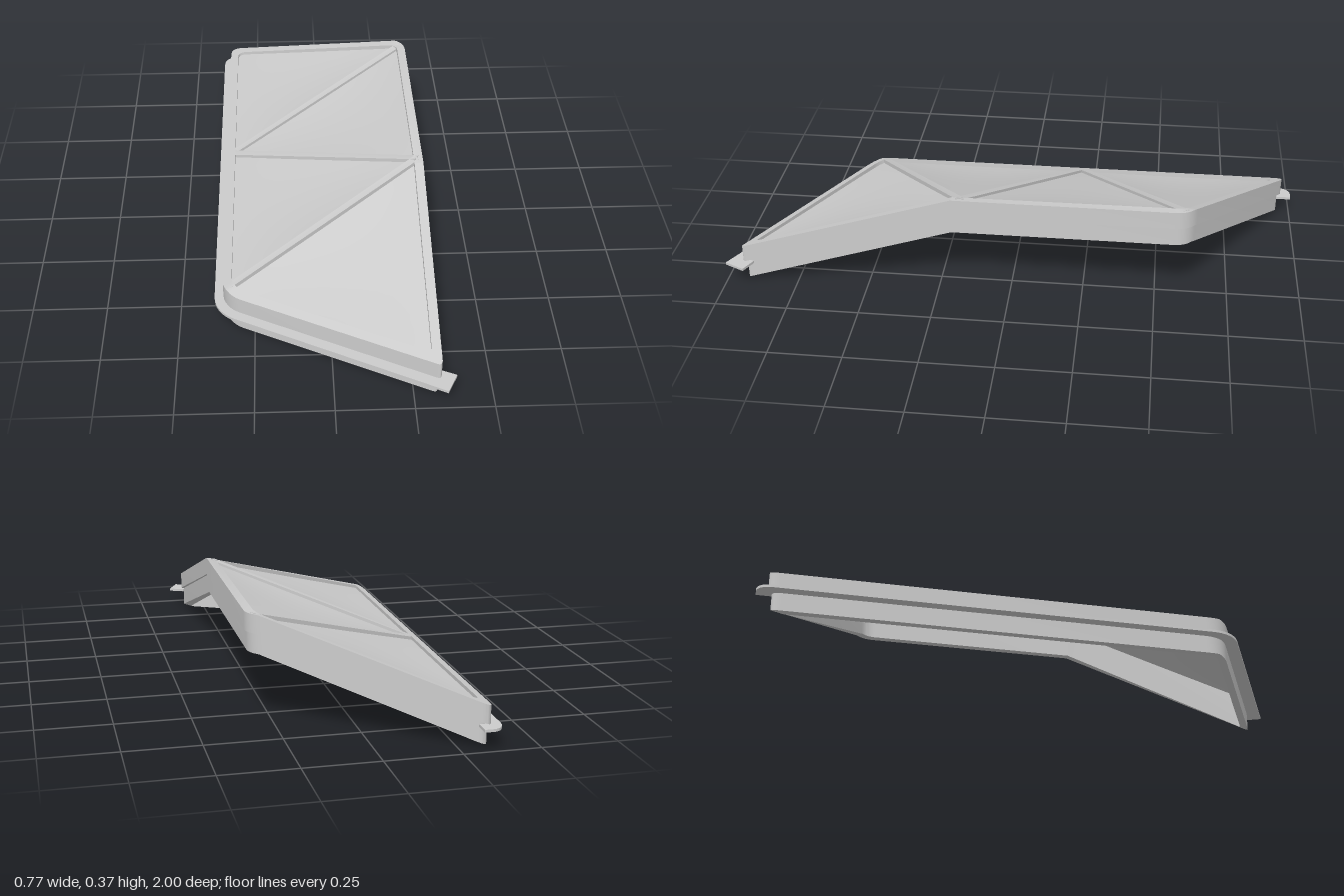
import * as THREE from 'three';
import { mergeGeometries, toCreasedNormals } from 'three/addons/utils/BufferGeometryUtils.js';

const V = (x, y, z) => new THREE.Vector3(x, y, z);

// Height of the folded roof: one slope rising to +x, one falling to the front edge
function roofHeight(x, z) {
  const slope = 0.13 + 0.235 * (x + 0.355) / 0.66;
  const front = 0.13 + 0.235 * (0.945 + 0.522 * (x - 0.335) - z) / 0.745;
  return Math.min(0.365, slope, front);
}

// Plan corners [x, z, rounding]; the third is the bend in the right edge
const CORNERS = [
  [-0.355, -0.978, 0.05], [0.335, -0.605, 0.05], [0.335, 0.2, 0.004],
  [0.335, 0.948, 0.02], [-0.355, 0.588, 0.07],
];

// Rounded plan outline moved inwards by a distance
function outline(inset) {
  const n = CORNERS.length;
  const pts = CORNERS.map((c) => new THREE.Vector2(c[0], c[1]));
  const dir = (i) => pts[(i + 1) % n].clone().sub(pts[i % n]).normalize();
  const moved = pts.map((p, i) => {
    const a = dir(i + n - 1), b = dir(i);
    const na = new THREE.Vector2(-a.y, a.x), nb = new THREE.Vector2(-b.y, b.x);
    return p.clone().addScaledVector(na.clone().add(nb), inset / (1 + na.dot(nb)));
  });
  return moved.flatMap((p, i) => {
    const cut = CORNERS[i][2] * (1 - inset * 8);
    const start = p.clone().addScaledVector(dir(i + n - 1), -cut);
    const end = p.clone().addScaledVector(dir(i), cut);
    return new THREE.QuadraticBezierCurve(start, p, end).getPoints(8);
  });
}

// Strip of faces between two closed rings of equal length
function band(a, b) {
  const pos = [], n = a.length;
  for (let i = 0; i < n; i++) {
    const j = (i + 1) % n;
    for (const p of [a[i], a[j], b[i], a[j], b[j], b[i]]) pos.push(p.x, p.y, p.z);
  }
  const g = new THREE.BufferGeometry();
  g.setAttribute('position', new THREE.Float32BufferAttribute(pos, 3));
  return g;
}

// Stepped frame wall that follows the fold
function frameGeometry() {
  const outer = outline(0);
  const ring = (inset, drop) => outline(inset).map((p, i) =>
    V(p.x, drop ? roofHeight(outer[i].x, outer[i].y) - drop : roofHeight(p.x, p.y), p.y));
  const rings = [ring(0, 0), ring(0, 0.062), ring(0.008, 0.062),
    ring(0.008, 0.13), ring(0.034, 0.13), ring(0.03, 0)];
  const bands = rings.map((r, i) => band(r, rings[(i + 1) % rings.length]));
  return toCreasedNormals(mergeGeometries(bands), 0.5);
}

// Thin ledge round the left and front sides
function flangeGeometry() {
  const s = new THREE.Shape();
  s.moveTo(-0.315, -1.0);
  s.lineTo(-0.345, -1.0);
  s.quadraticCurveTo(-0.384, -0.995, -0.384, -0.94);
  s.lineTo(-0.384, 0.53);
  s.quadraticCurveTo(-0.384, 0.605, -0.32, 0.645);
  s.lineTo(0.35, 1.0);
  s.lineTo(0.384, 0.93);
  s.lineTo(0.33, 0.905);
  s.lineTo(0.32, 0.92);
  s.lineTo(-0.3, 0.597);
  s.lineTo(-0.34, 0.53);
  s.lineTo(-0.34, -0.93);
  s.lineTo(-0.315, -0.945);
  const g = new THREE.ExtrudeGeometry(s, { depth: 0.009, bevelEnabled: false, curveSegments: 8 });
  return g.rotateX(Math.PI / 2).translate(0, 0.071, 0);
}

// Triangular infill sheet, slightly recessed and sagging in the middle
function panelGeometry(a, b, c) {
  const N = 14, pos = [], index = [];
  const id = (i, j) => i * (i + 1) / 2 + j;
  for (let i = 0; i <= N; i++) {
    for (let j = 0; j <= i; j++) {
      const u = 1 - i / N, w = j / N, v = 1 - u - w;
      const p = V(0, -0.011 - 0.011 * 27 * u * v * w, 0)
        .addScaledVector(a, u).addScaledVector(b, v).addScaledVector(c, w);
      pos.push(p.x, p.y, p.z);
      if (i < N) index.push(id(i, j), id(i + 1, j), id(i + 1, j + 1));
      if (i < N && j < i) index.push(id(i, j), id(i + 1, j + 1), id(i, j + 1));
    }
  }
  const g = new THREE.BufferGeometry();
  g.setAttribute('position', new THREE.Float32BufferAttribute(pos, 3));
  g.setIndex(index);
  g.computeVertexNormals();
  return g;
}

// Straight bar between two points, top face lying on the roof
function ribGeometry(a, b) {
  const along = b.clone().sub(a);
  const side = V(along.z, 0, -along.x).normalize();
  const up = along.clone().normalize().cross(side).normalize();
  const g = new THREE.BoxGeometry(0.026, 0.03, along.length());
  // keep the cross-section level by shearing along the slope
  const p = g.attributes.position;
  for (let i = 0; i < p.count; i++) {
    const q = a.clone().lerp(b, 0.5 + p.getZ(i) / along.length())
      .addScaledVector(side, p.getX(i));
    q.y += p.getY(i) - 0.015;
    const slope = Math.min(roofHeight(q.x, q.z) + p.getY(i) - 0.015, q.y + 0.01);
    p.setXYZ(i, q.x, up.y > 0 ? slope : q.y, q.z);
  }
  g.computeVertexNormals();
  return g;
}

export function createModel() {
  const model = new THREE.Group();
  const grey = new THREE.MeshStandardMaterial({ color: 0xcccccc, side: THREE.DoubleSide });
  grey.name = 'light grey';
  const add = (name, geometry) => {
    const mesh = new THREE.Mesh(geometry, grey);
    mesh.name = name;
    model.add(mesh);
  };

  add('frame', frameGeometry());
  add('flange', flangeGeometry());

  // Nodes of the zigzag lattice
  const node = (x, z) => V(x, roofHeight(x, z), z);
  const backLeft = node(-0.335, -0.94), backRight = node(0.315, -0.59);
  const midLeft = node(-0.335, -0.205), midRight = node(0.315, 0.17);
  const frontLeft = node(-0.335, 0.56), frontRight = node(0.315, 0.92);

  const panels = [[backLeft, midLeft, backRight], [midLeft, midRight, backRight],
    [midLeft, frontLeft, midRight], [frontLeft, frontRight, midRight]];
  panels.forEach((p, i) => add(`panel${i + 1}`, panelGeometry(...p)));

  const ribs = [[midLeft, backRight], [midLeft, midRight], [frontLeft, midRight]];
  ribs.forEach((r, i) => add(`rib${i + 1}`, ribGeometry(...r)));

  return model;
}
